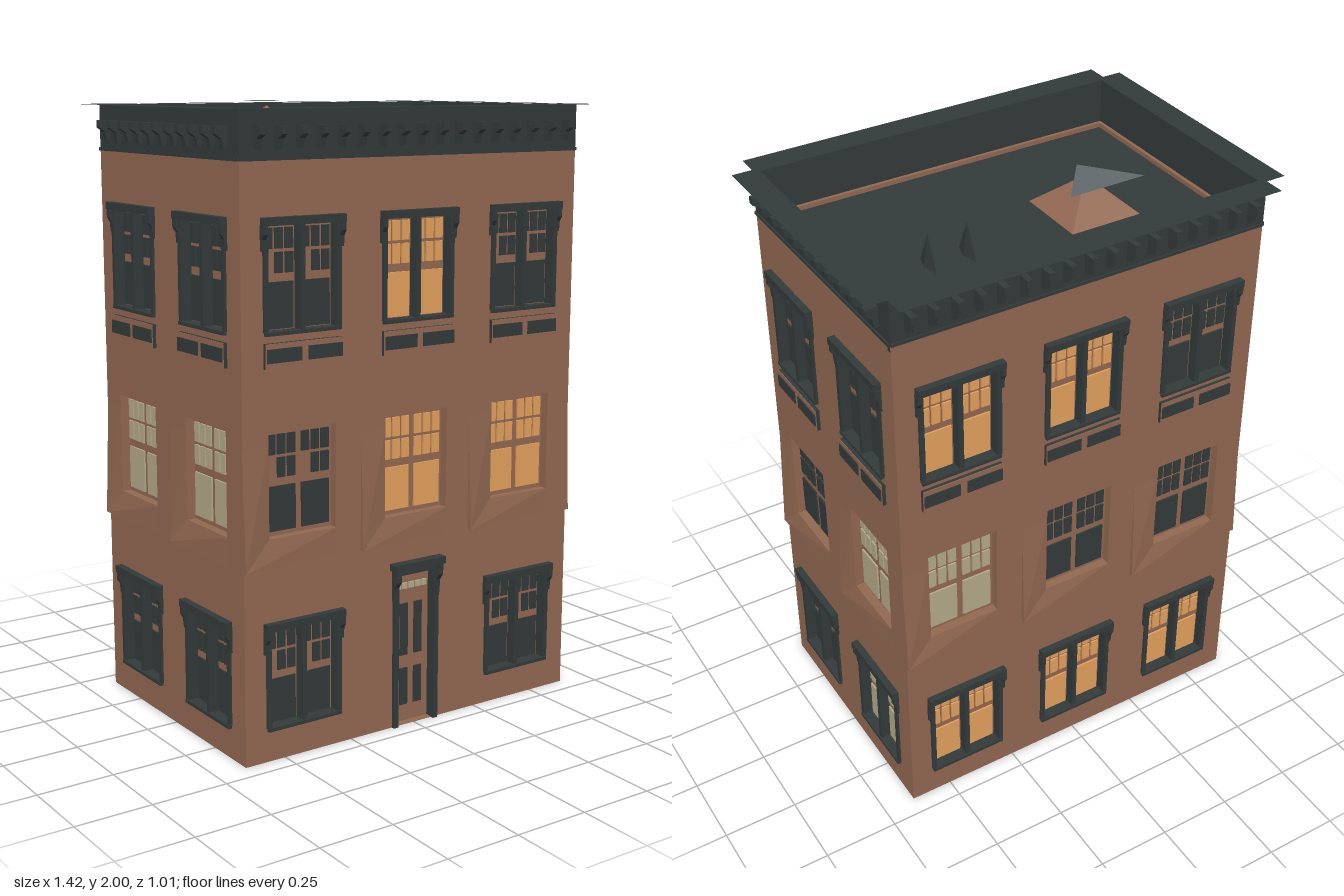
import * as THREE from 'three';
import { mergeGeometries } from 'three/addons/utils/BufferGeometryUtils.js';

const mat = (name, color, side = THREE.FrontSide) => {
  const m = new THREE.MeshStandardMaterial({ color, side });
  m.name = name;
  return m;
};

export function createModel() {
  const brick = mat('brick', 0x926851, THREE.DoubleSide);
  const trim = mat('dark trim', 0x333a3a, THREE.DoubleSide);
  const glow = mat('lit glass', 0xe2a05c);
  const pale = mat('pale glass', 0xb4aa88);
  const grey = mat('grey cap', 0x62696d, THREE.DoubleSide);
  const glassFor = { d: trim, o: glow, p: pale };

  const HX = 0.643, HZ = 0.437, RECESS = 0.03, EAVE = 1.84, TOP = 1.988, DECK = 1.825;
  const building = new THREE.Group();
  building.name = 'building';

  const add = (parent, name, geometry, material) => {
    const m = new THREE.Mesh(geometry, material);
    m.name = name;
    parent.add(m);
    return m;
  };
  // box given by its lower and upper limits on each axis
  const box = (x0, x1, y0, y1, z0, z1) =>
    new THREE.BoxGeometry(x1 - x0, y1 - y0, z1 - z0)
      .translate((x0 + x1) / 2, (y0 + y1) / 2, (z0 + z1) / 2).toNonIndexed();
  const rect = (P, x0, x1, y0, y1) => {
    const p = new P();
    p.moveTo(x0, y0); p.lineTo(x1, y0); p.lineTo(x1, y1); p.lineTo(x0, y1);
    p.closePath();
    return p;
  };

  // scroll bracket, profile in z and y
  const bracket = (x, y, w, h, d) => {
    const s = new THREE.Shape();
    s.moveTo(0, 0); s.lineTo(d * 0.35, 0); s.lineTo(d * 0.5, h * 0.45);
    s.lineTo(d, h * 0.65); s.lineTo(d, h); s.lineTo(0, h);
    return new THREE.ExtrudeGeometry(s, { depth: w, bevelEnabled: false })
      .rotateY(-Math.PI / 2).translate(x + w / 2, y, 0);
  };

  // glass panes: per half one large light below two rows of three
  const addPanes = (face, c, y, gap, kind, skip) => {
    const list = [], z0 = -RECESS - 0.002, z1 = -RECESS + 0.006;
    for (const s of [-1, 1]) {
      const x0 = c + (s < 0 ? -gap - 0.1 : gap);
      list.push(box(x0, x0 + 0.1, y + 0.015, y + 0.155, z0, z1));
      for (let row = 0; row < 2; row++) for (let i = 0; i < 3; i++) {
        if (skip && row === 0 && i === 0) continue;
        const x = x0 + i * 0.036, b = y + 0.181 + row * 0.072;
        list.push(box(x, x + 0.028, b, b + 0.062, z0, z1));
      }
    }
    add(face, 'windowPanes', mergeGeometries(list), glassFor[kind]);
  };

  // dark surround with lintel, pilasters, mullion and sill
  const addSurround = (face, c, y) => {
    const list = [
      box(c - 0.145, c + 0.145, y + 0.314, y + 0.338, -0.01, 0.024),
      box(c - 0.008, c + 0.008, y, y + 0.316, -RECESS, 0.006),
      box(c - 0.135, c + 0.135, y - 0.01, y + 0.001, -RECESS, 0.012),
    ];
    for (const s of [-1, 1]) {
      const x = c + s * 0.13;
      list.push(box(x - 0.008, x + 0.008, y, y + 0.316, -RECESS, 0.008));
      list.push(bracket(c + s * 0.138, y + 0.24, 0.016, 0.075, 0.02));
    }
    add(face, 'windowSurround', mergeGeometries(list), trim);
  };

  // apron below a top floor window: dark box, brick face, two dark panels
  const addApron = (face, c, y) => {
    const dark = [box(c - 0.137, c + 0.137, y - 0.108, y - 0.032, 0, 0.012)];
    for (const s of [-1, 1]) {
      const x = c + s * 0.073;
      dark.push(box(x - 0.061, x + 0.061, y - 0.09, y - 0.048, 0.012, 0.018));
    }
    add(face, 'windowApron', mergeGeometries(dark), trim);
    add(face, 'apronFace', box(c - 0.137, c + 0.137, y - 0.108, y - 0.032, 0.011, 0.014), brick);
  };

  // faceted brick swelling at the lower corner of a middle floor window
  const addSwelling = (face, c) => {
    const A = [c - 0.215, 0.62, 0.016], B = [c - 0.215, 0.62, 0], U = [c - 0.215, 1.0, 0];
    const V = [c - 0.123, 1.0, 0], W = [c - 0.123, 0.709, 0];
    const R = [c + 0.123, 0.709, 0], D = [c + 0.123, 0.62, 0];
    const g = new THREE.BufferGeometry();
    g.setAttribute('position', new THREE.Float32BufferAttribute(
      [A, D, R, A, R, W, A, W, V, A, V, U, B, A, U, B, D, A].flat(), 3));
    g.computeVertexNormals();
    add(face, 'brickSwelling', g, brick);
  };

  const addDoor = (face) => {
    const frame = [
      box(-0.1, 0.1, 0.533, 0.556, -0.01, 0.034),
      box(-0.085, 0.085, 0.515, 0.533, -0.01, 0.02),
    ];
    for (const s of [-1, 1]) {
      frame.push(box(s * 0.08 - 0.009, s * 0.08 + 0.009, 0, 0.52, -RECESS, 0.012));
      frame.push(bracket(s * 0.083, 0.43, 0.018, 0.103, 0.03));
    }
    add(face, 'doorFrame', mergeGeometries(frame), trim);
    add(face, 'doorLeaf', box(-0.072, 0.072, 0, 0.515, -RECESS - 0.005, -RECESS + 0.006), brick);
    const panels = [], lights = [];
    for (const x of [-0.028, 0.028]) {
      panels.push(box(x - 0.015, x + 0.015, 0.23, 0.405, -0.025, -0.018));
      panels.push(box(x - 0.015, x + 0.015, 0.06, 0.185, -0.025, -0.018));
    }
    for (let i = -2; i <= 2; i++)
      lights.push(box(i * 0.026 - 0.01, i * 0.026 + 0.01, 0.455, 0.475, -0.025, -0.018));
    add(face, 'doorPanels', mergeGeometries(panels), trim);
    add(face, 'doorTransom', mergeGeometries(lights), pale);
  };

  // one facade; rows run from the ground up, x marks the door
  const addFacade = (name, angle, half, end, dist, columns, rows, skip) => {
    const face = new THREE.Group();
    face.name = name;
    face.rotation.y = angle;
    face.position.set(Math.sin(angle) * dist, 0, Math.cos(angle) * dist);
    building.add(face);
    const wall = rect(THREE.Shape, -end, end, 0, EAVE);
    [0.11, 0.71, 1.34].forEach((y, floor) => columns.forEach((c, i) => {
      const kind = rows[floor][i], middle = floor === 1;
      if (kind === 'x') {
        wall.holes.push(rect(THREE.Path, -0.072, 0.072, 0.002, 0.515));
        addDoor(face);
        return;
      }
      const w = middle ? 0.122 : 0.13;
      wall.holes.push(rect(THREE.Path, c - w, c + w, y, y + 0.33));
      addPanes(face, c, middle ? y : y - 0.011, middle ? 0.011 : 0.015, kind, skip && kind === 'd');
      if (middle) addSwelling(face, c);
      else addSurround(face, c, y);
      if (floor === 2) addApron(face, c, y);
    }));
    add(face, 'wall', new THREE.ExtrudeGeometry(wall, { depth: RECESS, bevelEnabled: false })
      .translate(0, 0, -RECESS), brick);
    // cornice band with its row of brackets
    add(face, 'corniceBand', box(-end, end, EAVE - 0.02, TOP, -0.018, -0.001), trim);
    add(face, 'corniceFace', box(-end, end, EAVE, TOP, -0.002, 0.001), trim);
    add(face, 'corniceMoulding', box(-half, half, EAVE, EAVE + 0.01, 0, 0.006), trim);
    const n = Math.floor((half * 2 - 0.08) / 0.0735), list = [];
    for (let i = 0; i <= n; i++)
      list.push(bracket((i - n / 2) * 0.0735, 1.873, 0.02, 0.066, 0.042));
    add(face, 'corniceBrackets', mergeGeometries(list), trim);
  };
  const three = [-0.43, 0, 0.43], two = [-0.22, 0.22], sideEnd = HZ - 0.001;
  addFacade('frontFacade', 0, HX, HX, HZ, three, ['dxd', 'doo', 'dod'], true);
  addFacade('backFacade', Math.PI, HX, HX, HZ, three, ['ooo', 'pdd', 'ood'], false);
  addFacade('leftFacade', Math.PI / 2, HZ, sideEnd, HX, two, ['dp', 'dp', 'dd'], false);
  addFacade('rightFacade', -Math.PI / 2, HZ, sideEnd, HX, two, ['dd', 'pp', 'dd'], false);

  // inner core behind the windows, its underside set up from the ground
  const ix = HX - RECESS, iz = HZ - RECESS;
  add(building, 'core', box(-ix, ix, 0.04, DECK - 0.01, -iz, iz), brick);
  add(building, 'roofDeck', box(-0.63, 0.63, DECK - 0.008, DECK, -0.425, 0.425), trim);
  const parapet = rect(THREE.Shape, -0.63, 0.63, -0.425, 0.425);
  parapet.holes.push(rect(THREE.Path, -0.625, 0.625, -0.42, 0.42));
  add(building, 'parapetLining', new THREE.ExtrudeGeometry(parapet,
    { depth: TOP - DECK - 0.002, bevelEnabled: false })
    .rotateX(-Math.PI / 2).translate(0, DECK, 0), trim);

  // thin overhanging cornice top, notched at the corners
  const px = 0.71, pz = 0.507, lip = new THREE.Shape();
  [[HX, pz], [HX, HZ], [px, HZ], [px, -HZ], [HX, -HZ], [HX, -pz],
    [-HX, -pz], [-HX, -HZ], [-px, -HZ], [-px, HZ], [-HX, HZ], [-HX, pz]]
    .forEach(([x, y], i) => (i ? lip.lineTo(x, y) : lip.moveTo(x, y)));
  lip.holes.push(rect(THREE.Path, -0.625, 0.625, -0.42, 0.42));
  add(building, 'corniceTop', new THREE.ShapeGeometry(lip)
    .rotateX(-Math.PI / 2).translate(0, TOP + 0.001, 0), trim);

  // pyramid chimney with a flat triangular cap
  const pyramid = new THREE.ConeGeometry(0.122 * Math.SQRT2, 0.11, 4, 1, true)
    .rotateY(Math.PI / 4).toNonIndexed();
  pyramid.computeVertexNormals();
  add(building, 'chimney', pyramid, brick).position.set(-0.205, 1.93, -0.112);
  const cap = new THREE.Shape([[-0.34, 0.23], [-0.205, 0.065], [-0.075, 0.23]]
    .map(([x, y]) => new THREE.Vector2(x, y)));
  add(building, 'chimneyCap', new THREE.ShapeGeometry(cap)
    .rotateX(-Math.PI / 2).translate(0, 2, 0), grey);

  // roof vents
  const ventGeometry = new THREE.ConeGeometry(0.05, 0.11, 4).toNonIndexed();
  ventGeometry.computeVertexNormals();
  for (const x of [0.2, 0.333]) {
    const vent = add(building, 'roofVent', ventGeometry, trim);
    vent.scale.x = 0.28;
    vent.position.set(x, DECK + 0.055, -0.095);
  }
  return building;
}
